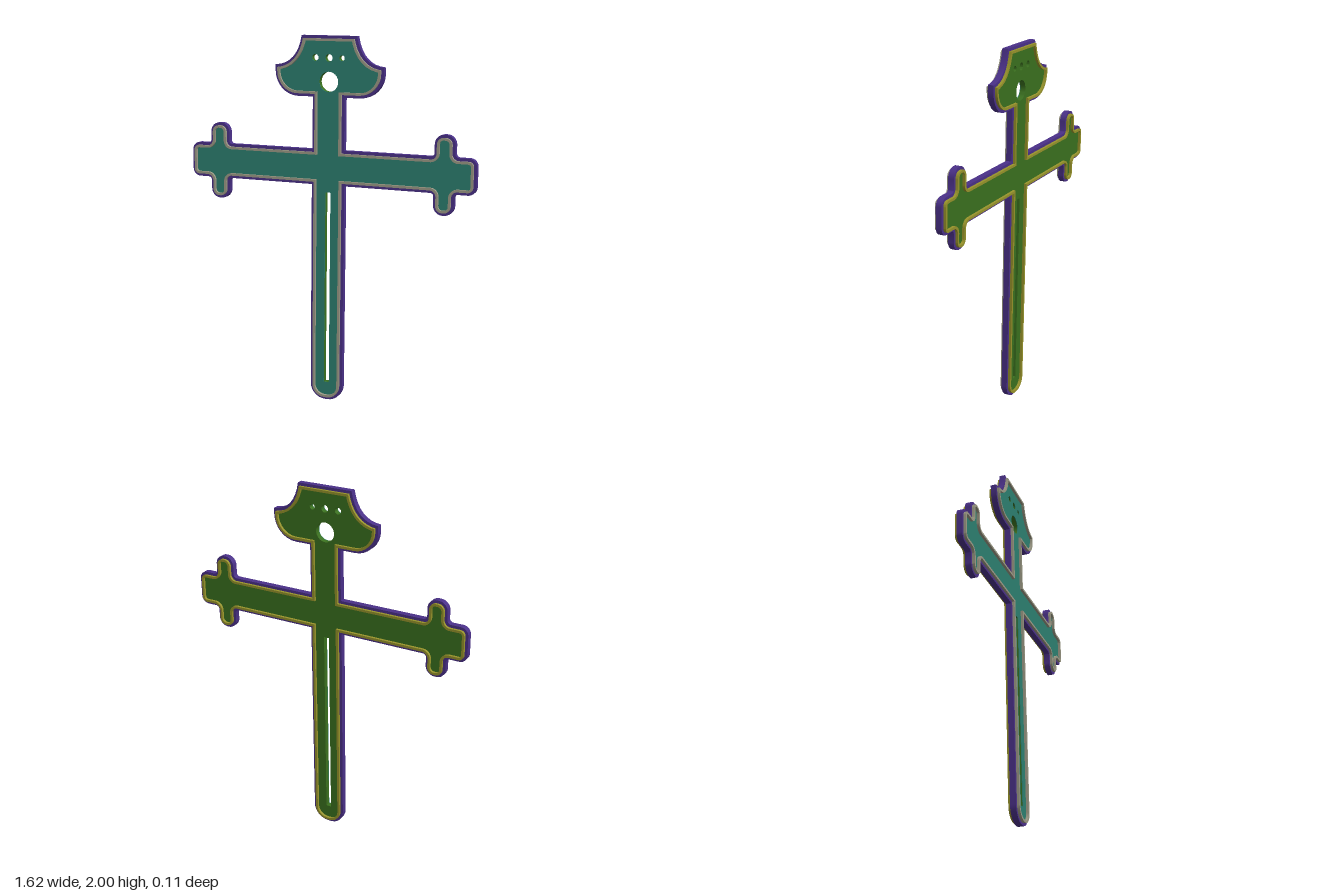
import * as THREE from 'three';
import { toCreasedNormals } from 'three/addons/utils/BufferGeometryUtils.js';

// Right half of the outline, bottom to top: x, y, corner radius
const CORNERS = [
  [0, 0, 0], [0.093, 0, 0.085], [0.093, 1.21, 0],
  [0.585, 1.21, 0.018], [0.585, 1.095, 0.05], [0.695, 1.095, 0.05], [0.695, 1.21, 0.02],
  [0.81, 1.21, 0.042], [0.81, 1.4, 0.042],
  [0.695, 1.4, 0.02], [0.695, 1.515, 0.05], [0.585, 1.515, 0.05], [0.585, 1.4, 0.018],
  [0.09, 1.4, 0], [0.09, 1.68, 0], [0.305, 1.68, 0.13], [0.305, 1.843, 0],
];

// Full outline, counter-clockwise, mirrored across x = 0
function outline() {
  const half = new THREE.Path();
  const v = CORNERS.map(([x, y]) => new THREE.Vector2(x, y));
  half.moveTo(0, 0);
  for (let i = 1; i < v.length; i++) {
    const r = CORNERS[i][2];
    if (!r) { half.lineTo(v[i].x, v[i].y); continue; }
    const to = (p, d) => p.clone().sub(v[i]).normalize().multiplyScalar(d).add(v[i]);
    const a = to(v[i - 1], r), b = to(v[i + 1], r);
    const c = to(v[i - 1], r * 0.448), d = to(v[i + 1], r * 0.448);
    half.lineTo(a.x, a.y);
    half.bezierCurveTo(c.x, c.y, d.x, d.y, b.x, b.y);
  }
  half.quadraticCurveTo(0.18, 1.85, 0.155, 2); // hollow flank of the head
  half.lineTo(0, 2);
  const right = half.getPoints(8);
  const left = right.slice(1, -1).reverse().map(p => new THREE.Vector2(-p.x, p.y));
  return [...right, ...left];
}

// Moves every edge of a closed outline inward by d
function inset(points, d) {
  const n = points.length;
  const normal = (a, b) => new THREE.Vector2(a.y - b.y, b.x - a.x).normalize();
  return points.map((p, i) => {
    const n1 = normal(points[(i + n - 1) % n], p);
    const n2 = normal(p, points[(i + 1) % n]);
    const s = d / (1 + n1.dot(n2));
    return n1.add(n2).multiplyScalar(s).add(p);
  });
}

function circle(x, y, r) {
  return new THREE.Path().absarc(x, y, r, 0, Math.PI * 2, true);
}

// Openings through the plate: slot, large hole, three small holes
function openings() {
  const slot = new THREE.Path([[-0.015, 0.1], [-0.015, 1.17], [0.015, 1.17], [0.015, 0.1]]
    .map(([x, y]) => new THREE.Vector2(x, y)));
  return [slot, circle(0, 1.76, 0.053),
    circle(-0.077, 1.885, 0.018), circle(0, 1.885, 0.02), circle(0.073, 1.885, 0.015)];
}

function slab(name, points, holes, z0, z1, color) {
  const shape = new THREE.Shape(points);
  shape.holes = holes;
  const geo = new THREE.ExtrudeGeometry(shape, { depth: z1 - z0, bevelEnabled: false, curveSegments: 16 });
  geo.translate(0, 0, z0);
  const mesh = new THREE.Mesh(toCreasedNormals(geo, 0.6), new THREE.MeshStandardMaterial({ color }));
  mesh.name = name;
  return mesh;
}

export function createModel() {
  const model = new THREE.Group();
  model.name = 'cross';

  const outer = outline();
  const rim = inset(outer, 0.015);
  const field = inset(outer, 0.028);
  const rimHole = () => [new THREE.Path(rim)];
  const fieldHole = () => [new THREE.Path(field)];

  const plate = new THREE.Group();
  plate.name = 'plate';
  plate.add(
    slab('edgeBand', outer, rimHole(), -0.016, 0.016, 0x4a3088),
    // raised rims on both sides
    slab('frontRim', rim, fieldHole(), 0, 0.03, 0x9c9a86),
    slab('backRim', rim, fieldHole(), -0.03, 0, 0x97932a),
    // recessed panels
    slab('frontPanel', field, openings(), 0.013, 0.016, 0x2c7f70),
    slab('backPanel', field, openings(), -0.016, 0.013, 0x3a701e),
  );

  // slight backward lean
  plate.rotation.set(-0.0235, -0.005, 0);
  plate.position.z = 0.025;
  model.add(plate);
  return model;
}
